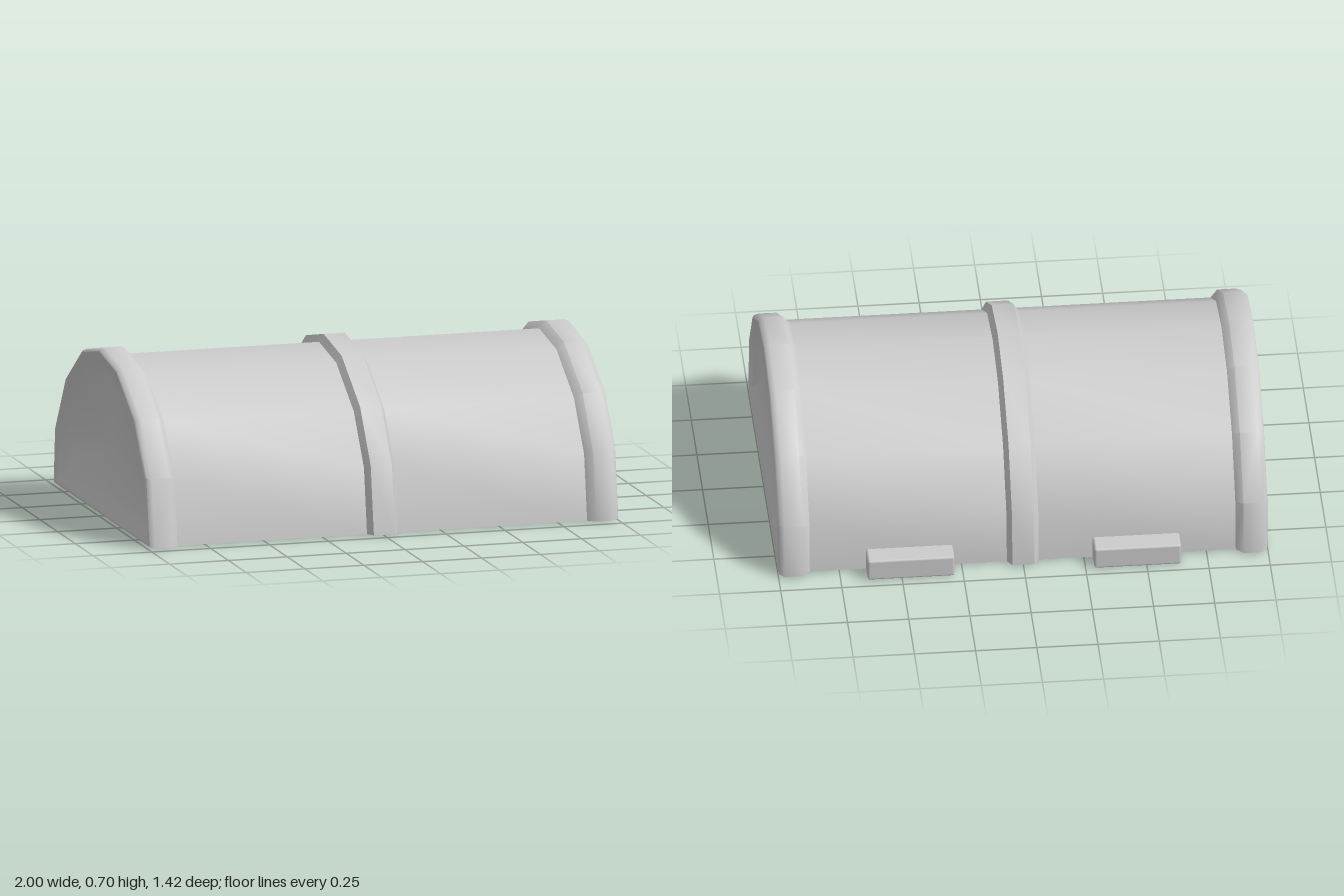
import * as THREE from 'three';
import { toCreasedNormals } from 'three/addons/utils/BufferGeometryUtils.js';
import { RoundedBoxGeometry } from 'three/addons/geometries/RoundedBoxGeometry.js';

// Arched cross-section (z, y), from the front lower edge over to the back one
const ARCH = [[0.71, 0.005], [0.665, 0.285], [0.515, 0.5], [0.255, 0.66], [0, 0.7],
  [-0.25, 0.645], [-0.485, 0.48], [-0.64, 0.235], [-0.66, 0.005]];
const MID_Z = 0.025;

// The arch at a given x, scaled in z and y, with its foot at y0
const arch = (x, sz, sy = sz, y0 = 0.005) => ARCH.map(([z, y]) =>
  [x, y0 + (y - 0.005) * sy, MID_Z + (z - MID_Z) * sz]);

// Skin over closed rings; with poles, the first and last ring are single points
function loft(rows, poles = false, flip = false) {
  const n = rows[0].length, last = rows.length - 2, index = [];
  const tri = (a, b, c) => index.push(...(flip ? [a, c, b] : [a, b, c]));
  for (let r = 0; r <= last; r++) {
    for (let i = 0; i < n; i++) {
      const j = (i + 1) % n;
      const a = r * n + i, b = r * n + j, c = a + n, d = b + n;
      if (!poles || r > 0) tri(a, c, b);
      if (!poles || r < last) tri(b, c, d);
    }
  }
  const g = new THREE.BufferGeometry();
  g.setAttribute('position', new THREE.Float32BufferAttribute(rows.flat(2), 3));
  g.setIndex(index);
  return toCreasedNormals(g, 0.85);
}

export function createModel() {
  const group = new THREE.Group();
  const material = new THREE.MeshStandardMaterial({ color: 0xcccccc });
  const add = (name, geometry) => {
    const mesh = new THREE.Mesh(geometry, material);
    mesh.name = name;
    group.add(mesh);
    return mesh;
  };

  // Hollow barrel with a raised band round the middle
  const stations = [[-0.88, 0.955], [-0.065, 0.955], [-0.045, 1], [0.045, 1], [0.065, 0.955], [0.88, 0.955]];
  add('barrelShell', loft(stations.map(([x, s]) =>
    [...arch(x, s), ...arch(x, 0.91).reverse()])));

  // End walls: inner face, raised bevelled rim and sunken outer panel
  for (const side of [1, -1]) {
    const row = (x, ...rest) => arch(side * x, ...rest);
    add(side > 0 ? 'leftEndWall' : 'rightEndWall', loft([
      row(0.89, 0, 0, 0.25),
      row(0.89, 0.86, 0.86, 0.03),
      row(0.88, 0.91),
      row(0.87, 0.955),
      row(0.9, 1),
      row(0.975, 1),
      row(0.995, 0.985, 0.98, 0.012),
      row(1, 0.965, 0.955, 0.022),
      row(0.985, 0.92, 0.87, 0.045),
      row(0.955, 0.85, 0.68, 0.1),
      row(0.95, 0, 0, 0.3),
    ], true, side < 0));
  }

  // Hinge blocks along the back edge
  for (const side of [1, -1]) {
    const hinge = add(side > 0 ? 'leftHinge' : 'rightHinge',
      new RoundedBoxGeometry(0.355, 0.094, 0.1, 1, 0.01));
    hinge.position.set(side * 0.463, 0.048, -0.66);
  }
  return group;
}
